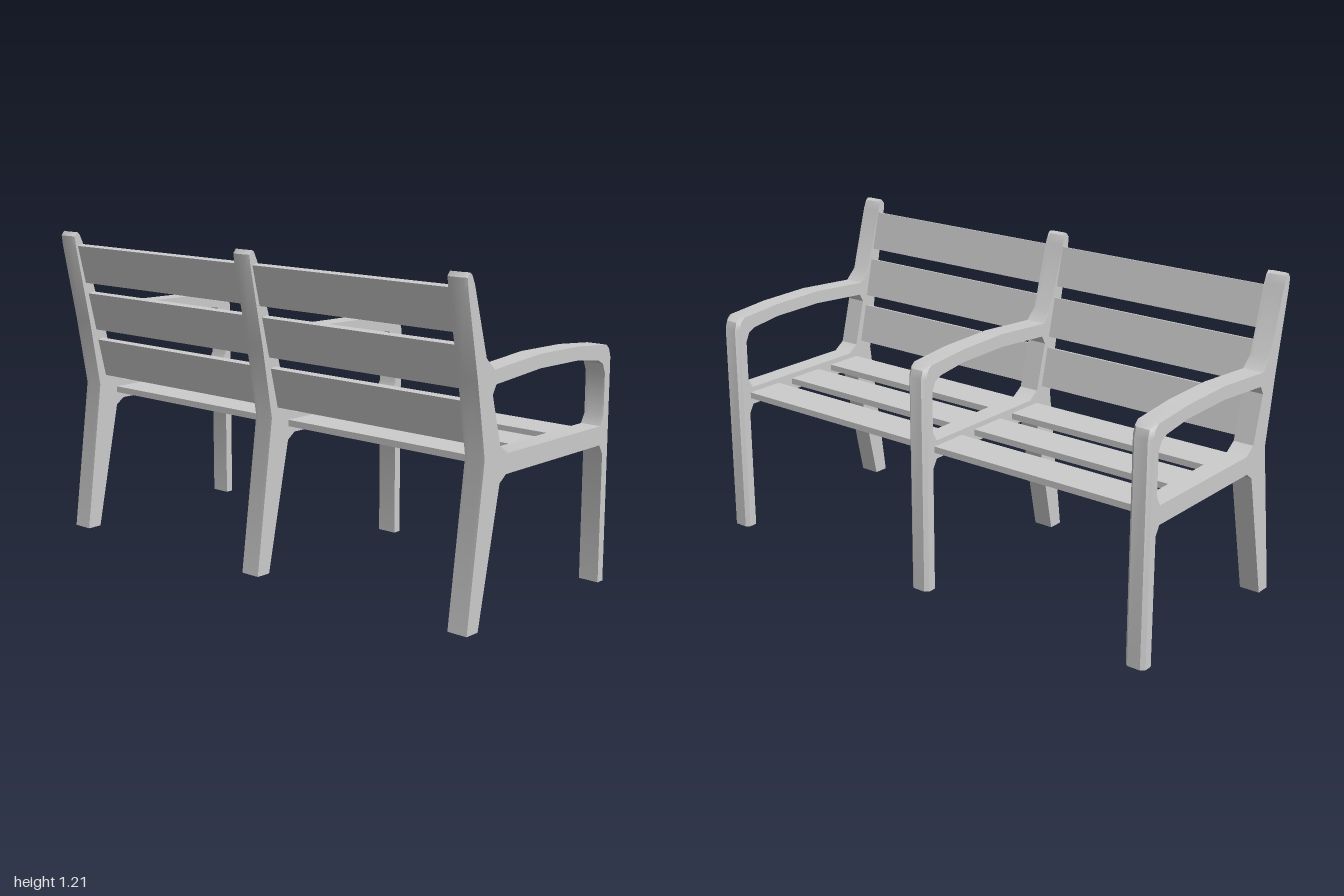
import * as THREE from 'three';
import { toCreasedNormals } from 'three/addons/utils/BufferGeometryUtils.js';

const FRAME_W = 0.08;
const material = new THREE.MeshStandardMaterial({ color: 0xcccccc });
const frameMaterial = new THREE.MeshStandardMaterial({ color: 0xcccccc, side: THREE.DoubleSide });

const points = (list) => list.map(([x, y]) => new THREE.Vector2(x, y));

// Side frame: legs, seat rail, armrest and back post in one casting
function frameGeometry() {
  const shape = new THREE.Shape(points([
    [-0.40, 0], [-0.34, 0], [-0.235, 0.49], [-0.20, 0.515], // rear leg
    [0.365, 0.515], [0.385, 0.48], [0.385, 0], [0.43, 0], // seat rail, front leg
    [0.43, 0.83], [0.42, 0.86], [0.39, 0.876], [0.21, 0.892], [-0.015, 0.896], // armrest
    [-0.275, 0.877], [-0.32, 0.92], [-0.39, 1.165], [-0.405, 1.198], // back post
    [-0.422, 1.206], [-0.435, 1.19], [-0.43, 1.15], [-0.365, 0.85], [-0.32, 0.585],
  ]));
  shape.holes.push(new THREE.Path(points([
    [-0.235, 0.615], [-0.19, 0.585], [0.365, 0.585], [0.385, 0.62], [0.385, 0.775],
    [0.37, 0.81], [0.34, 0.826], [0.21, 0.843], [-0.015, 0.846], [-0.265, 0.827], [-0.283, 0.795],
  ])));
  const geo = new THREE.ExtrudeGeometry(shape, { depth: FRAME_W, steps: 3, bevelEnabled: false });
  geo.translate(0, 0, -FRAME_W / 2);

  // Round the front of the leg and the tip of the post across the width
  const pos = geo.attributes.position;
  for (let i = 0; i < pos.count; i++) {
    const x = pos.getX(i), z = pos.getZ(i);
    const outer = Math.abs(z) > FRAME_W / 2 - 0.001;
    if (outer && x > 0.415) pos.setX(i, x - 0.013);
    if (outer && x < -0.42) pos.setX(i, x + 0.006);
    if (!outer) pos.setZ(i, Math.sign(z) * 0.026);
  }

  // Leave the feet open
  const kept = [];
  for (let i = 0; i < pos.count; i += 3) {
    if (Math.max(pos.getY(i), pos.getY(i + 1), pos.getY(i + 2)) < 0.001) continue;
    for (let k = i; k < i + 3; k++) kept.push(pos.getX(k), pos.getY(k), pos.getZ(k));
  }
  const open = new THREE.BufferGeometry();
  open.setAttribute('position', new THREE.Float32BufferAttribute(kept, 3));
  return toCreasedNormals(open, 0.65);
}

export function createModel() {
  const bench = new THREE.Group();
  bench.name = 'bench';

  const frame = frameGeometry();
  for (const z of [-0.96, 0, 0.96]) {
    const mesh = new THREE.Mesh(frame, frameMaterial);
    mesh.name = 'sideFrame';
    mesh.position.z = z;
    bench.add(mesh);
  }

  // Slats span the two bays between frames
  const seatSlat = new THREE.BoxGeometry(0.155, 0.024, 0.88);
  const backSlat = new THREE.BoxGeometry(0.024, 0.153, 0.88);
  const addSlat = (name, geo, x, y, z, tilt) => {
    const mesh = new THREE.Mesh(geo, material);
    mesh.name = name;
    mesh.position.set(x, y, z);
    mesh.rotation.z = tilt;
    bench.add(mesh);
  };
  for (const z of [-0.48, 0.48]) {
    for (const x of [-0.156, 0.072, 0.3]) addSlat('seatSlat', seatSlat, x, 0.553, z, 0);
    for (const [x, y] of [[-0.295, 0.697], [-0.338, 0.888], [-0.385, 1.08]]) {
      addSlat('backSlat', backSlat, x, y, z, 0.23);
    }
  }
  return bench;
}
